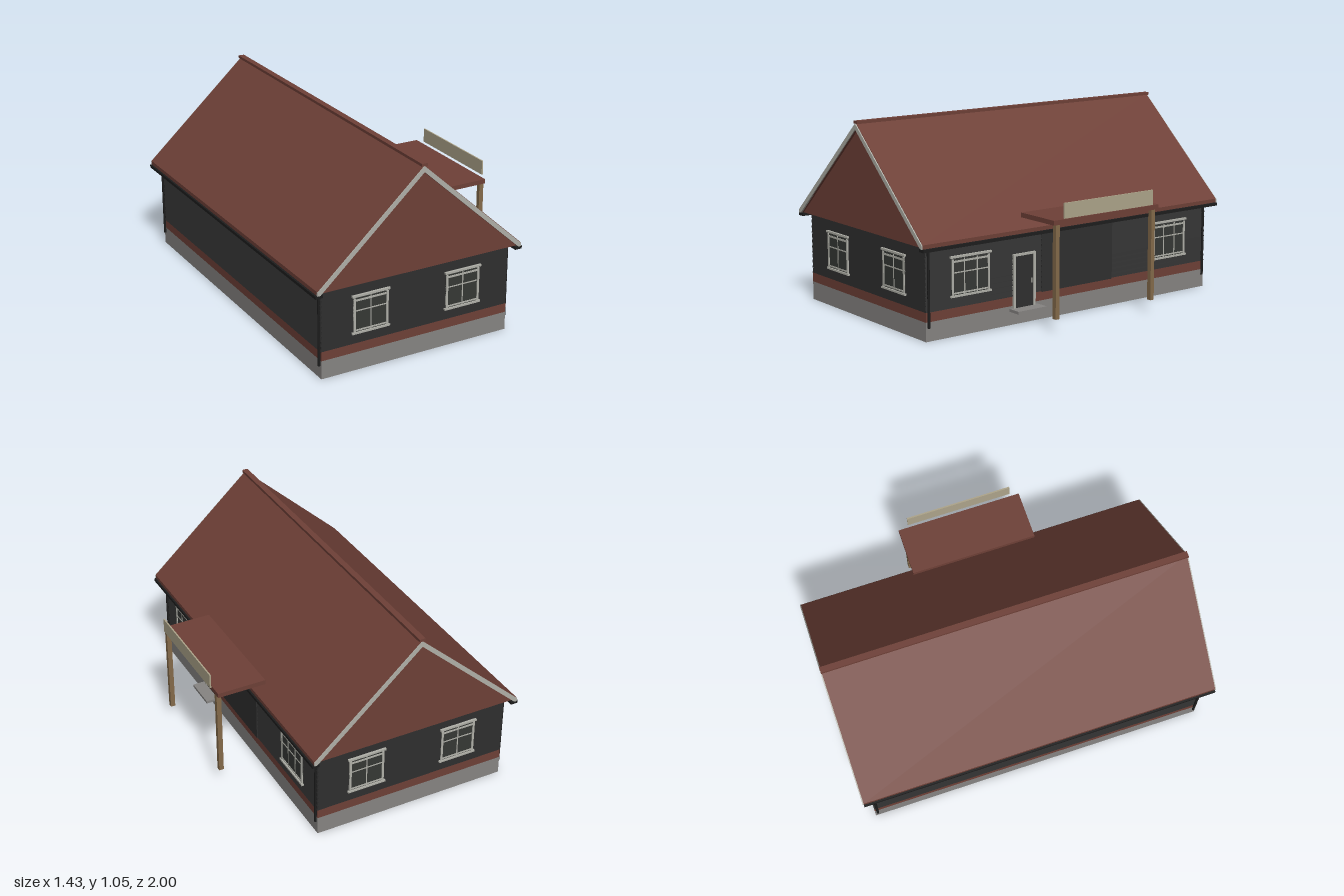
import * as THREE from 'three';

const mat = (name, color) => {
  const m = new THREE.MeshStandardMaterial({ color });
  m.name = name;
  return m;
};

export function createModel() {
  const red = mat('barn red', 0x6e4037);
  const dark = mat('charcoal boards', 0x2f2f2f);
  const black = mat('black metal', 0x1d1d1d);
  const stone = mat('concrete grey', 0x868482);
  const trim = mat('pale trim', 0xb0b0a8);
  const wood = mat('post wood', 0x846a4a);
  const tan = mat('sign tan', 0xada48a);
  const glass = mat('dark glass', 0x363835);

  const model = new THREE.Group();
  model.name = 'house';

  // Box given by its lower and upper limits on each axis
  function box(parent, name, m, x0, x1, y0, y1, z0, z1) {
    const mesh = new THREE.Mesh(new THREE.BoxGeometry(x1 - x0, y1 - y0, z1 - z0), m);
    mesh.position.set((x0 + x1) / 2, (y0 + y1) / 2, (z0 + z1) / 2);
    mesh.name = name;
    parent.add(mesh);
    return mesh;
  }

  // Outline in x, y extruded between two z limits
  function prism(name, m, pts, z0, z1) {
    const shape = new THREE.Shape(pts.map(([x, y]) => new THREE.Vector2(x, y)));
    const geo = new THREE.ExtrudeGeometry(shape, { depth: z1 - z0, bevelEnabled: false });
    const mesh = new THREE.Mesh(geo, m);
    mesh.position.z = z0;
    mesh.name = name;
    model.add(mesh);
  }

  // Foundation and painted base band
  const X0 = -0.665, X1 = 0.43, CX = -0.1175;
  box(model, 'foundation', stone, X0, X1, 0, 0.1, -0.95, 0.95);
  box(model, 'baseBand', red, X0, X1, 0.1, 0.15, -0.95, 0.95);

  // Walls: lapped boards on the long sides, flat end walls
  const boards = 12, bh = 0.335 / boards, half = (X1 - X0) / 2;
  const right = [];
  for (let i = 0; i < boards; i++) {
    right.push([half + 0.003, 0.15 + i * bh], [half - 0.005, 0.15 + (i + 1) * bh]);
  }
  const left = right.map(([x, y]) => [CX - x, y]).reverse();
  prism('walls', dark, [...right.map(([x, y]) => [CX + x, y]), ...left], -0.95, 0.95);

  // Attic block with red gables
  prism('gables', red, [[-0.695, 0.485], [0.46, 0.485], [CX, 1.012]], -0.98, 0.98);

  // Roof slab and pale barge boards share a chevron outline
  const chevron = (top) => [
    [-0.71, 0.485], [-0.695, 0.485], [CX, 1.008], [0.46, 0.485], [0.475, 0.485],
    [0.475, 0.503 + top], [CX, 1.039 + top], [-0.71, 0.503 + top],
  ];
  prism('roof', red, chevron(0.003), -0.994, 0.994);
  prism('frontBargeBoard', trim, chevron(0), 0.99, 1);
  prism('backBargeBoard', trim, chevron(0), -1, -0.99);
  box(model, 'ridgeCap', red, -0.133, -0.1, 1.037, 1.052, -0.998, 0.998);

  // Gutters and corner downpipes
  for (const s of [-1, 1]) {
    const gx = CX + s * 0.582;
    box(model, 'gutter', black, gx - 0.02, gx + 0.02, 0.468, 0.484, -0.995, 0.995);
    for (const z of [-0.935, 0.935]) {
      const pipe = new THREE.Mesh(new THREE.CylinderGeometry(0.007, 0.007, 0.4, 10), black);
      pipe.position.set(CX + s * (half + 0.005), 0.27, z);
      pipe.name = 'downpipe';
      model.add(pipe);
    }
  }

  // Window facing +z, centred on x = 0, then turned to its wall
  function addWindow(x, z, turn, width, bars) {
    const g = new THREE.Group();
    g.name = 'window';
    const h = width / 2, y0 = 0.212, y1 = 0.4;
    box(g, 'pane', glass, -h, h, y0, y1, -0.001, 0.004);
    for (const s of [-1, 1]) {
      const c = s * (h - 0.006);
      box(g, 'sideTrim', trim, c - 0.006, c + 0.006, y0, y1, 0, 0.008);
    }
    box(g, 'topRail', trim, -h, h, y1 - 0.018, y1 - 0.008, 0, 0.007);
    box(g, 'bottomRail', trim, -h, h, y0 + 0.008, y0 + 0.016, 0, 0.007);
    box(g, 'crossBar', trim, -h, h, 0.327, 0.333, 0, 0.006);
    for (let i = 1; i <= bars; i++) {
      const c = -h + (width * i) / (bars + 1);
      box(g, 'mullion', trim, c - 0.003, c + 0.003, y0, y1, 0, 0.006);
    }
    box(g, 'lintel', trim, -h - 0.008, h + 0.008, 0.406, 0.417, 0, 0.012);
    box(g, 'sill', trim, -h - 0.008, h + 0.008, 0.205, 0.215, 0, 0.012);
    g.position.set(x, 0, z);
    g.rotation.y = turn;
    model.add(g);
  }
  for (const x of [-0.387, 0.153]) {
    addWindow(x, 0.95, 0, 0.2, 1);
    addWindow(x, -0.95, Math.PI, 0.2, 1);
  }
  for (const z of [0.678, -0.675]) addWindow(0.432, z, Math.PI / 2, 0.236, 2);

  // Entrance door with frame, handle and step
  box(model, 'door', dark, 0.42, 0.437, 0.085, 0.365, 0.275, 0.4);
  for (const z of [0.267, 0.396]) box(model, 'doorJamb', trim, 0.42, 0.442, 0.085, 0.373, z, z + 0.013);
  box(model, 'doorHead', trim, 0.42, 0.442, 0.361, 0.373, 0.267, 0.409);
  box(model, 'doorHandle', trim, 0.437, 0.444, 0.21, 0.235, 0.29, 0.295);
  box(model, 'step', stone, 0.42, 0.505, 0.072, 0.087, 0.245, 0.43);

  // Plain wall panel under the canopy
  box(model, 'wallPanel', dark, 0.42, 0.436, 0.146, 0.48, -0.26, 0.22);

  // Canopy on two posts with a blank sign board
  box(model, 'canopy', red, 0.425, 0.695, 0.558, 0.583, -0.355, 0.35);
  for (const z of [0.325, -0.32]) {
    box(model, 'canopyPost', wood, 0.668, 0.694, 0.07, 0.558, z - 0.012, z + 0.012);
  }
  box(model, 'signBoard', tan, 0.706, 0.714, 0.59, 0.67, -0.297, 0.299);

  return model;
}
